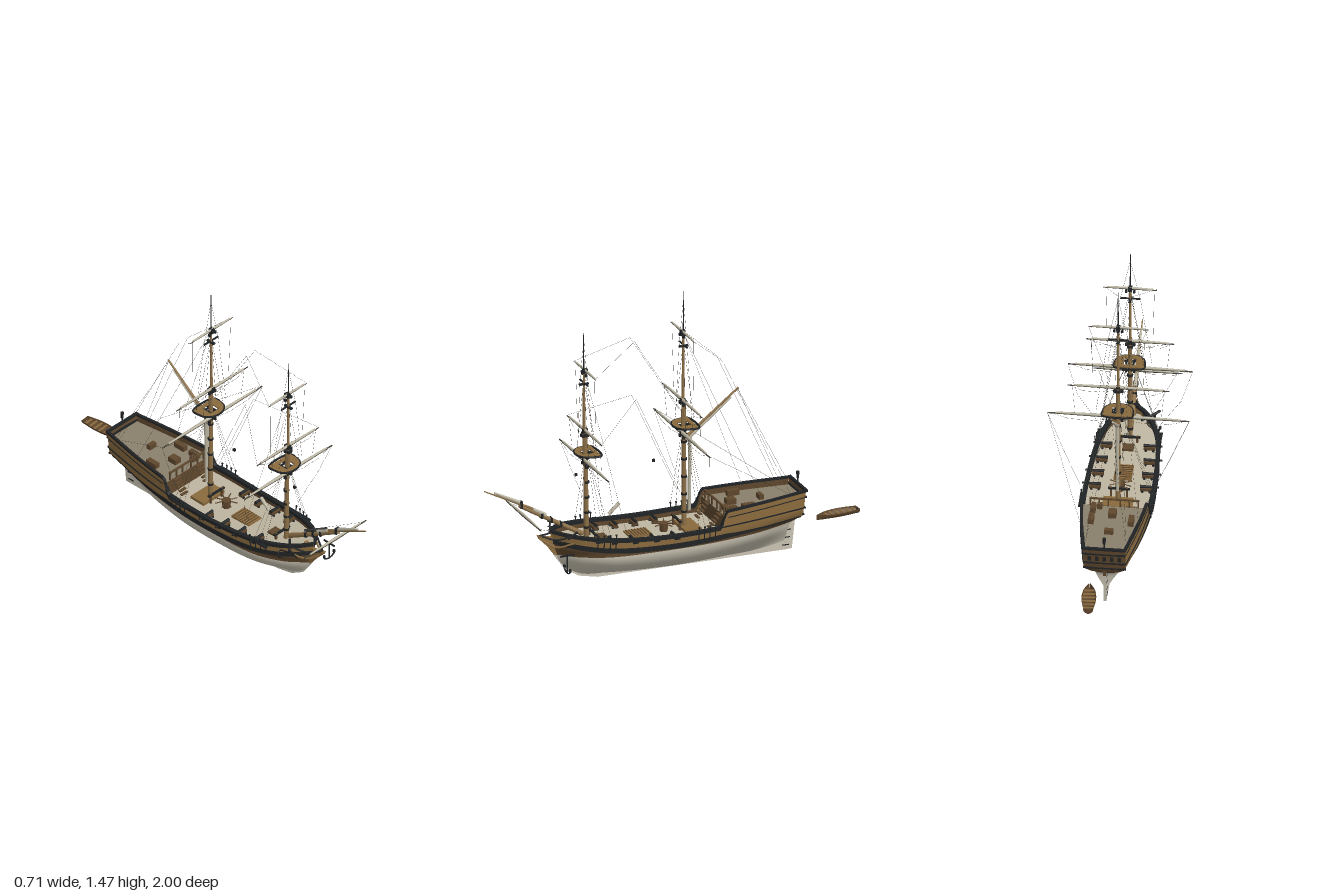
import * as THREE from 'three';
import { mergeGeometries } from 'three/addons/utils/BufferGeometryUtils.js';

const mat = (name, color) => Object.assign(new THREE.MeshStandardMaterial({ color, side: THREE.DoubleSide }), { name });
const M = {
  bottom: mat('bottom paint', 0xc9c3b2), wood: mat('oak', 0x8a6a3d), dark: mat('dark oak', 0x5f472d),
  black: mat('black paint', 0x202325), deck: mat('deck planks', 0xbdb5a0), quarter: mat('quarterdeck planks', 0x8a7f6c),
  spar: mat('spar wood', 0x8c7048), sail: mat('canvas', 0xbab4a0), rope: mat('tarred rope and yards', 0x3f3b31),
};
const V = (x, y, z) => new THREE.Vector3(x, y, z);
const { lerp, smoothstep } = THREE.MathUtils;

// Smooth curve through [position, value] pairs
function curve(...p) {
  const m = p.map((_, i) => {
    const a = p[Math.max(i - 1, 0)], b = p[Math.min(i + 1, p.length - 1)];
    return (b[1] - a[1]) / (b[0] - a[0]);
  });
  return x => {
    if (x <= p[0][0]) return p[0][1];
    if (x >= p[p.length - 1][0]) return p[p.length - 1][1];
    const i = p.findIndex(q => q[0] > x) - 1, h = p[i + 1][0] - p[i][0], s = (x - p[i][0]) / h;
    return p[i][1] * (1 + 2 * s) * (1 - s) ** 2 + m[i] * h * s * (1 - s) ** 2
      + p[i + 1][1] * s * s * (3 - 2 * s) + m[i + 1] * h * s * s * (s - 1);
  };
}
// Surface from f(u, v), facing along du x dv; side -1 mirrors it in x
function loft(f, nu, nv, side = 1, flat = false) {
  const pos = [], idx = [];
  for (let i = 0; i <= nu; i++) for (let j = 0; j <= nv; j++) {
    const p = f(i / nu, j / nv);
    pos.push(p.x * side, p.y, p.z);
    if (i < nu && j < nv) {
      const a = i * (nv + 1) + j, b = a + nv + 1, q = [[a, b, a + 1], [a + 1, b, b + 1]];
      q.forEach(t => idx.push(...(side > 0 ? t : t.reverse())));
    }
  }
  let g = new THREE.BufferGeometry();
  g.setAttribute('position', new THREE.Float32BufferAttribute(pos, 3));
  g.setIndex(idx);
  if (flat) g = g.toNonIndexed();
  g.computeVertexNormals();
  return g;
}

// Hull lines: t runs from stern (0) to bow (1)
const WL = 0.165;
const bowZ = curve([0.01, 0.37], [0.02, 0.42], [0.045, 0.5], [0.1, 0.575], [WL, 0.615], [0.3, 0.645]);
const sternZ = curve([0, -0.62], [0.15, -0.63], [0.19, -0.67], [0.34, -0.695]);
const waterW = curve([0, 0.05], [0.08, 0.09], [0.2, 0.135], [0.4, 0.168], [0.6, 0.17], [0.8, 0.15], [0.92, 0.088], [1, 0.004]);
const railW = curve([0, 0.106], [0.2, 0.148], [0.4, 0.172], [0.6, 0.172], [0.8, 0.153], [0.9, 0.115], [0.96, 0.065], [1, 0.005]);
const keelY = curve([0, 0.012], [0.6, 0.02], [1, 0.03]);
const fullness = curve([0, 2.2], [0.2, 1.1], [0.45, 0.6], [0.8, 0.6], [1, 0.8]);
const waleY = curve([0, 0.198], [0.4, 0.174], [0.6, 0.172], [0.8, 0.187], [1, 0.228]);
const sheer = curve([0, 0.25], [0.4, 0.241], [0.6, 0.241], [0.8, 0.26], [1, 0.3]);
const railY = t => lerp(sheer(t), lerp(0.34, 0.322, t / 0.36), 1 - smoothstep(t, 0.33, 0.365));
const tOf = z => (z + 0.685) / 1.32;
const widthAt = z => railW(tOf(z));

function above(t, y) {
  return V(lerp(waterW(t), railW(t), smoothstep(y, WL, 0.215)), y, lerp(sternZ(y), bowZ(y), t));
}
function below(t, u) {
  const y = lerp(keelY(t), WL, u);
  return V(waterW(t) * Math.sin(u * Math.PI / 2) ** fullness(t), y, lerp(sternZ(y), bowZ(y), t));
}

export function createModel() {
  const ship = new THREE.Group();
  ship.name = 'ship';
  const add = (name, g, m, parent = ship) => {
    const mesh = new THREE.Mesh(g, m);
    mesh.name = name;
    parent.add(mesh);
    return mesh;
  };
  const box = (name, m, w, h, d, x, y, z, parent) => add(name, new THREE.BoxGeometry(w, h, d).translate(x, y, z), m, parent);
  const rodGeo = (a, b, r0, r1 = r0, n = 10) => {
    const d = b.clone().sub(a), g = new THREE.CylinderGeometry(r1, r0, d.length(), n);
    g.applyQuaternion(new THREE.Quaternion().setFromUnitVectors(V(0, 1, 0), d.normalize()));
    const c = a.clone().add(b).multiplyScalar(0.5);
    return g.translate(c.x, c.y, c.z);
  };
  const rod = (name, m, a, b, r0, r1, n) => add(name, rodGeo(a, b, r0, r1, n), m);
  // Flat plate cut in the z-y plane
  const plate = (name, m, pts, w) => {
    const g = new THREE.ExtrudeGeometry(new THREE.Shape(pts.map(p => new THREE.Vector2(...p))), { depth: w, bevelEnabled: false });
    add(name, g.rotateY(-Math.PI / 2).translate(w / 2, 0, 0), m);
  };

  // Hull planking, wales and rails
  const bands = [
    ['lowerStrake', M.dark, () => WL, waleY],
    ['topside', M.wood, waleY, railY],
  ];
  for (const s of [1, -1]) {
    add('hullBottom', loft((u, t) => below(t, u), 16, 72, s), M.bottom);
    for (const [n, m, lo, hi] of bands) add(n, loft((u, t) => above(t, lerp(lo(t), hi(t), u)), 6, 110, s), m);
    const strip = (name, m, yf, inn, out, lo, hi, t0, t1) => add(name, loft((u, v) => {
      const t = lerp(t0, t1, v), k = Math.round(u * 4) % 4, p = above(t, yf(t));
      return V(Math.max(0, p.x + [out, out, -inn, -inn][k]), p.y + [lo, hi, hi, lo][k], p.z);
    }, 4, 90, s, true), m);
    strip('wale', M.black, waleY, 0.002, 0.005, 0, 0.026, 0, 1);
    strip('waistCapRail', M.black, railY, 0.016, 0.006, -0.014, 0.004, 0.35, 1);
    strip('quarterCapRail', M.black, railY, 0.011, 0.004, -0.008, 0.003, 0, 0.36);
    strip('waistRail', M.black, sheer, 0.002, 0.004, -0.003, 0.003, 0, 0.36);
    strip('quarterMoulding', M.black, t => railY(t) - 0.035, 0.002, 0.003, -0.002, 0.002, 0, 0.33);
    strip('bulwarkLining', M.dark, t => railY(t) - 0.03, 0.008, -0.003, -0.025, 0.02, 0.005, 0.97);
  }
  const across = (lo, hi) => (u, v) => {
    const p = above(0, lerp(lo, hi, u));
    return V(p.x * (2 * v - 1), p.y, p.z - 0.006 * (1 - (2 * v - 1) ** 2));
  };
  add('transom', loft(across(WL, 0.34), 10, 12), M.dark);
  add('sternRun', loft((u, v) => { const p = below(0, u); return V(p.x * (2 * v - 1), p.y, p.z); }, 10, 4), M.bottom);
  box('taffrail', M.black, 0.22, 0.012, 0.014, 0, 0.339, -0.697);
  for (const y of [0.215, 0.25, 0.305]) box('transomMoulding', M.black, 0.214, 0.008, 0.012, 0, y, sternZ(y) - 0.003);
  for (const x of [-0.075, -0.037, 0, 0.037, 0.075]) box('sternWindow', M.black, 0.018, 0.026, 0.009, x, 0.278, sternZ(0.278) - 0.004);
  rod('lanternPost', M.black, V(0, 0.34, -0.695), V(0, 0.375, -0.695), 0.004);
  rod('lantern', M.black, V(0, 0.37, -0.695), V(0, 0.405, -0.695), 0.007, 0.009, 8);

  // Decks
  const deck = (name, m, yf, t0, t1) => add(name, loft((u, v) => {
    const t = lerp(t0, t1, u), p = above(t, yf(t));
    return V((p.x - 0.003) * (2 * v - 1), p.y, p.z);
  }, 50, 4), m);
  deck('mainDeck', M.deck, t => sheer(t) - 0.04, 0.3, 0.985);
  deck('quarterDeck', M.quarter, t => lerp(0.3, 0.285, t / 0.36), 0.002, 0.335);
  box('quarterBulkhead', M.dark, 0.318, 0.085, 0.008, 0, 0.243, -0.243);

  // Keel, rudder and beakhead
  plate('keel', M.bottom, [[-0.62, 0], [0.39, 0.012], [0.49, 0.034], [0.565, 0.08], [0.625, 0.165], [0.6, 0.165], [0.52, 0.08], [0.38, 0.035], [-0.62, 0.03]], 0.012);
  plate('sternpost', M.bottom, [[-0.63, 0], [-0.5, 0.005], [-0.5, 0.1], [-0.63, 0.17]], 0.012);
  plate('rudder', M.bottom, [[-0.625, 0], [-0.66, 0.002], [-0.678, 0.165], [-0.635, 0.165]], 0.014);
  plate('rudderHead', M.dark, [[-0.635, 0.165], [-0.678, 0.165], [-0.68, 0.2], [-0.64, 0.2]], 0.014);
  for (const y of [0.025, 0.065, 0.105, 0.145]) box('rudderHinge', M.black, 0.018, 0.005, 0.036, 0, y, -0.623 - y * 0.12);
  plate('beakhead', M.wood, [[0.58, 0.165], [0.622, 0.165], [0.655, 0.21], [0.705, 0.262], [0.712, 0.28], [0.69, 0.275], [0.64, 0.262], [0.58, 0.28]], 0.02);
  for (const s of [1, -1]) {
    for (const y of [0.235, 0.275]) {
      const path = new THREE.CatmullRomCurve3([V(s * 0.09, y + 0.01, 0.555), V(s * 0.05, y - 0.012, 0.63), V(0, y > 0.25 ? 0.278 : 0.262, 0.7)]);
      add('headRail', new THREE.TubeGeometry(path, 14, 0.005, 6), y > 0.25 ? M.black : M.wood);
    }
    rod('cathead', M.black, V(s * 0.05, 0.285, 0.52), V(s * 0.135, 0.295, 0.6), 0.006);
    // Anchor hung below the cathead
    const a = new THREE.Group();
    a.name = 'anchor';
    add('shank', new THREE.CylinderGeometry(0.0035, 0.0035, 0.1, 6), M.black, a);
    add('arms', new THREE.TorusGeometry(0.038, 0.0045, 6, 16, Math.PI).rotateZ(Math.PI).scale(1, 0.65, 1).translate(0, -0.027, 0), M.black, a);
    box('stock', M.black, 0.007, 0.007, 0.075, 0, 0.04, 0, a);
    for (const f of [1, -1]) box('fluke', M.black, 0.01, 0.014, 0.01, f * 0.035, -0.027, 0, a);
    a.position.set(s * 0.138, s > 0 ? 0.167 : 0.26, s > 0 ? 0.61 : 0.56);
    if (s < 0) { a.rotation.set(1.3, 0.5, 0); a.position.x = -0.11; }
    ship.add(a);
  }

  // Guns, channels and chains on both sides
  const ropes = [];
  const line = (...p) => p.slice(1).forEach((q, i) => ropes.push(rodGeo(p[i], q, 0.0006, 0.0006, 3)));
  const masts = [
    { name: 'main', z: -0.08, rake: 0.003, base: 0.2, top: 0.75, cap: 0.885, cross: 1.18, mid: 1.245, peak: 1.465, stay: -0.45, chains: [-0.085, -0.115, -0.145, -0.175], yards: [[0.707, 0.355], [0.882, 0.255], [1.247, 0.15]] },
    { name: 'fore', z: 0.447, rake: 0.014, base: 0.21, top: 0.682, cap: 0.79, cross: 1.06, mid: 1.13, peak: 1.325, stay: 0.29, chains: [0.445, 0.415, 0.385, 0.355], yards: [[0.642, 0.312], [0.802, 0.22], [1.122, 0.135]] },
  ];
  for (const s of [1, -1]) {
    for (const z of [0.03, 0.14, 0.25, 0.36]) {
      const x = s * (widthAt(z) - 0.046), y = sheer(tOf(z)) - 0.025;
      box('gunCarriage', M.dark, 0.058, 0.016, 0.024, x, y, z);
      rod('gunBarrel', M.black, V(x - s * 0.03, y + 0.014, z), V(x + s * 0.064, y + 0.014, z), 0.008, 0.005);
      for (const dx of [-0.02, 0.018]) rod('truck', M.black, V(x + dx, y - 0.009, z - 0.017), V(x + dx, y - 0.009, z + 0.017), 0.006);
      box('gunPort', M.black, 0.006, 0.022, 0.03, s * (widthAt(z) + 0.001), y + 0.013, z);
    }
    for (const m of masts) {
      const zc = (m.chains[0] + m.chains[3]) / 2, w = widthAt(zc) + 0.006, y = sheer(tOf(zc));
      box('channel', M.black, 0.018, 0.007, 0.12, s * w, y - 0.005, zc);
      m.chains.forEach((z, i) => {
        const foot = V(s * (widthAt(z) + 0.01), y + 0.02, z);
        rod('chainPlate', M.black, V(s * (widthAt(z) + 0.004), y - 0.055, z), foot, 0.0028, 0.0028, 6);
        rod('deadeye', M.black, foot.clone().add(V(-0.003, 0.003, 0)), foot.clone().add(V(0.003, 0.003, 0)), 0.005);
        if (i < 3) line(foot, V(s * 0.012, m.top + 0.01, m.z));
      });
    }
  }

  // Masts, tops, yards and furled sails
  const D = new THREE.Shape();
  D.moveTo(-0.074, -0.05).lineTo(0.074, -0.05).lineTo(0.074, 0).bezierCurveTo(0.07, 0.08, -0.07, 0.08, -0.074, 0);
  const lubberHole = new THREE.Path();
  lubberHole.moveTo(-0.03, -0.03).lineTo(-0.03, 0.03).lineTo(0.03, 0.03).lineTo(0.03, -0.03);
  const rim = D.getPoints(10);
  D.holes.push(lubberHole);
  for (const m of masts) {
    const { z, name, rake } = m;
    rod(name + 'LowerMast', M.spar, V(0, m.base, z), V(0, m.cap, z + rake / 2), 0.0135, 0.01, 14);
    rod(name + 'Topmast', M.spar, V(0, m.top, z + rake / 2 + 0.006), V(0, m.mid, z + rake), 0.008, 0.0055);
    rod(name + 'PoleMast', M.black, V(0, m.cross, z + rake), V(0, m.peak, z + rake * 1.2), 0.0045, 0.0018, 8);
    for (const k of [0.15, 0.32, 0.49, 0.66, 0.83]) rod('mastBand', M.black, V(0, lerp(m.base, m.top, k), z), V(0, lerp(m.base, m.top, k) + 0.012, z), 0.0148);
    const top = new THREE.ExtrudeGeometry(D, { depth: 0.007, bevelEnabled: false, curveSegments: 16 }).rotateX(-Math.PI / 2).scale(1, 1, -1);
    top.setIndex([...Array(top.attributes.position.count).keys()].reverse());
    top.computeVertexNormals();
    add(name + 'Top', top.translate(0, m.top, z), M.wood);
    add(name + 'TopRim', new THREE.TubeGeometry(new THREE.CatmullRomCurve3(rim.map(p => V(p.x, m.top + 0.003, z + p.y)), true), 48, 0.0055, 5, true), M.black);
    for (const x of [-0.018, 0.018]) box('trestleTree', M.black, 0.008, 0.012, 0.1, x, m.top - 0.008, z);
    for (const dz of [-0.022, 0.022]) box('crossTree', M.black, 0.13, 0.008, 0.008, 0, m.top - 0.006, z + dz);
    box('mastCap', M.black, 0.028, 0.014, 0.036, 0, m.cap - 0.012, z + rake / 2 + 0.004);
    box('crosstrees', M.black, 0.1, 0.006, 0.008, 0, m.cross, z + rake);
    box('crosstrees', M.black, 0.014, 0.008, 0.05, 0, m.cross - 0.007, z + rake);
    box('topmastCap', M.black, 0.016, 0.012, 0.026, 0, m.mid - 0.01, z + rake);
    m.yards.forEach(([y, w], i) => {
      const zy = z + 0.012 - i * 0.002, r = 0.0065 - i * 0.0013;
      for (const s of [1, -1]) {
        rod('yard', M.rope, V(0, y, zy), V(s * w, y, zy), r, r * 0.5, 8);
        rod('furledSail', M.sail, V(0, y + 0.006, zy), V(s * w * 0.88, y + 0.004, zy), 0.009 - i * 0.0015, 0.0045, 8);
        if (i) line(V(s * w * 0.9, y, zy), V(s * w * 0.85, m.yards[i - 1][0] + 0.015, z));
        else line(V(s * w, y, zy), V(s * 0.26, 0.49, z - 0.03), V(s * (widthAt(z) + 0.01), 0.34, z - 0.06));
        if (i < 2) line(V(s * w * 0.95, y, zy), V(s * w * 0.7, y - 0.028, zy), V(s * w * 0.35, y - 0.03, zy), V(0, y - 0.01, zy));
      }
      box('yardSling', M.black, 0.02, 0.022, 0.026, 0, y, z + 0.008);
      for (const s of [1, -1]) box('block', M.black, 0.01, 0.014, 0.012, s * 0.02, y - 0.018, z + 0.012);
    });
    for (const s of [1, -1]) {
      for (const dz of [-0.03, 0.02]) line(V(s * 0.07, m.top + 0.01, z + dz), V(s * 0.006, m.cross, z + rake));
      line(V(0, m.peak - 0.04, z + rake), V(s * 0.05, m.cross, z + rake), V(s * 0.11, m.top, z));
      line(V(0, m.mid, z + rake), V(s * widthAt(m.stay), railY(tOf(m.stay)), m.stay));
    }
  }
  // Braces, backstays and loose blocks
  for (const s of [1, -1]) {
    line(V(s * 0.135, 1.125, 0.46), V(s * 0.03, 1.25, 0.2), V(s * 0.02, 0.83, -0.06));
    line(V(s * 0.22, 0.805, 0.46), V(s * 0.03, 0.94, 0.19), V(s * 0.02, 0.4, -0.05));
    line(V(s * 0.355, 0.71, -0.07), V(s * 0.11, 0.34, -0.6));
    line(V(s * 0.15, 1.25, -0.07), V(s * 0.03, 1.08, -0.27), V(s * 0.1, 0.34, -0.61));
    line(V(0, 0.9, -0.37), V(s * 0.1, 0.34, -0.63));
    line(V(s * 0.2, 0.4, 0.79), V(s * 0.09, 0.29, 0.55));
  }
  add('rigging', mergeGeometries(ropes), M.rope);
  for (const [y, z] of [[0.575, 0.505], [0.585, 0.085]]) box('stayBlock', M.black, 0.01, 0.014, 0.012, 0, y, z);

  // Gaff with brailed sail, and loose staysail
  rod('gaff', M.spar, V(0, 0.69, -0.1), V(0, 0.905, -0.375), 0.008, 0.005);
  rod('gaffSail', M.sail, V(0, 0.683, -0.11), V(0, 0.86, -0.335), 0.01, 0.005);
  rod('brailedSail', M.sail, V(0, 0.69, -0.112), V(0, 0.29, -0.108), 0.01, 0.008);
  rod('furledStaysail', M.sail, V(0, 0.335, 0.328), V(0, 0.388, 0.27), 0.009, 0.009);

  // Bowsprit, jib boom and spritsail yard
  rod('bowsprit', M.spar, V(0, 0.255, 0.47), V(0, 0.455, 0.81), 0.013, 0.009, 12);
  rod('jibBoom', M.spar, V(0, 0.43, 0.74), V(0, 0.562, 1), 0.007, 0.003);
  rod('furledJib', M.sail, V(0, 0.475, 0.81), V(0, 0.545, 0.945), 0.009, 0.005);
  rod('furledForesail', M.sail, V(0, 0.385, 0.67), V(0, 0.425, 0.735), 0.011, 0.008);
  box('bowspritCap', M.black, 0.024, 0.036, 0.012, 0, 0.46, 0.8);
  for (const k of [0.35, 0.5, 0.65]) box('gammoning', M.black, 0.026, 0.026, 0.012, 0, lerp(0.255, 0.455, k), lerp(0.47, 0.81, k));
  for (const s of [1, -1]) {
    rod('spritsailYard', M.rope, V(0, 0.398, 0.787), V(s * 0.22, 0.398, 0.787), 0.006, 0.003, 8);
    rod('furledSpritsail', M.sail, V(0, 0.404, 0.787), V(s * 0.18, 0.402, 0.787), 0.007, 0.004, 8);
  }

  // Deck fittings
  box('mainHatch', M.wood, 0.09, 0.014, 0.12, 0, 0.208, 0.17);
  for (let i = -3; i <= 3; i++) box('grating', M.dark, 0.086, 0.004, 0.004, 0, 0.216, 0.17 + i * 0.016);
  box('foreHatch', M.dark, 0.056, 0.016, 0.05, 0, 0.222, 0.368);
  box('mastPartners', M.wood, 0.15, 0.016, 0.09, 0, 0.208, -0.1);
  rod('capstan', M.dark, V(0, 0.2, 0.03), V(0, 0.245, 0.03), 0.02, 0.024);
  for (let i = 0; i < 8; i++) {
    const a = (i + 0.5) * Math.PI / 4;
    rod('capstanBar', M.dark, V(0, 0.24, 0.03), V(Math.cos(a) * 0.06, 0.24, 0.03 + Math.sin(a) * 0.06), 0.003, 0.003, 6);
  }
  for (const z of [-0.04, 0.415]) {
    for (const x of [-0.04, 0.04]) box('bittPost', M.dark, 0.01, 0.055, 0.01, x, 0.235, z);
    box('bittRail', M.black, 0.11, 0.008, 0.012, 0, 0.255, z);
  }
  for (const [x, z, w, d] of [[0, -0.33, 0.04, 0.05], [-0.1, -0.385, 0.028, 0.065], [0.1, -0.385, 0.028, 0.065], [0, -0.49, 0.045, 0.024], [0.07, -0.27, 0.025, 0.025], [0.1, -0.29, 0.025, 0.06]])
    box('deckLocker', M.dark, w, 0.028, d, x, 0.305, z);
  for (const s of [1, -1]) {
    for (let i = 0; i < 5; i++) box('ladderStep', M.dark, 0.045, 0.006, 0.014, s * 0.08, 0.214 + i * 0.016, -0.185 - i * 0.012);
    for (const x of [0.03, 0.075, 0.12]) box('railPost', M.dark, 0.007, 0.05, 0.007, s * x, 0.305, -0.245);
  }
  box('breastRail', M.dark, 0.25, 0.007, 0.01, 0, 0.33, -0.245);

  // Ship's boat towed astern
  const boat = new THREE.Group();
  boat.name = 'boat';
  const beam = curve([0, 0.024], [0.4, 0.037], [0.75, 0.028], [1, 0.002]);
  add('boatHull', loft((u, v) => {
    const a = (u - 0.5) * Math.PI;
    return V(beam(v) * Math.sin(a), 0.028 - 0.028 * Math.cos(a), (v - 0.5) * 0.23);
  }, 12, 20), M.dark, boat);
  add('boatTransom', new THREE.CircleGeometry(0.026, 16, Math.PI, Math.PI).translate(0, 0.028, -0.115), M.dark, boat);
  for (const z of [-0.09, -0.06, -0.03, 0, 0.03, 0.06]) box('thwart', M.wood, 1.85 * beam(z / 0.23 + 0.5), 0.003, 0.012, 0, 0.02, z, boat);
  boat.position.set(0.055, 0.154, -0.885);
  boat.rotation.y = 0.08;
  ship.add(boat);
  return ship;
}
